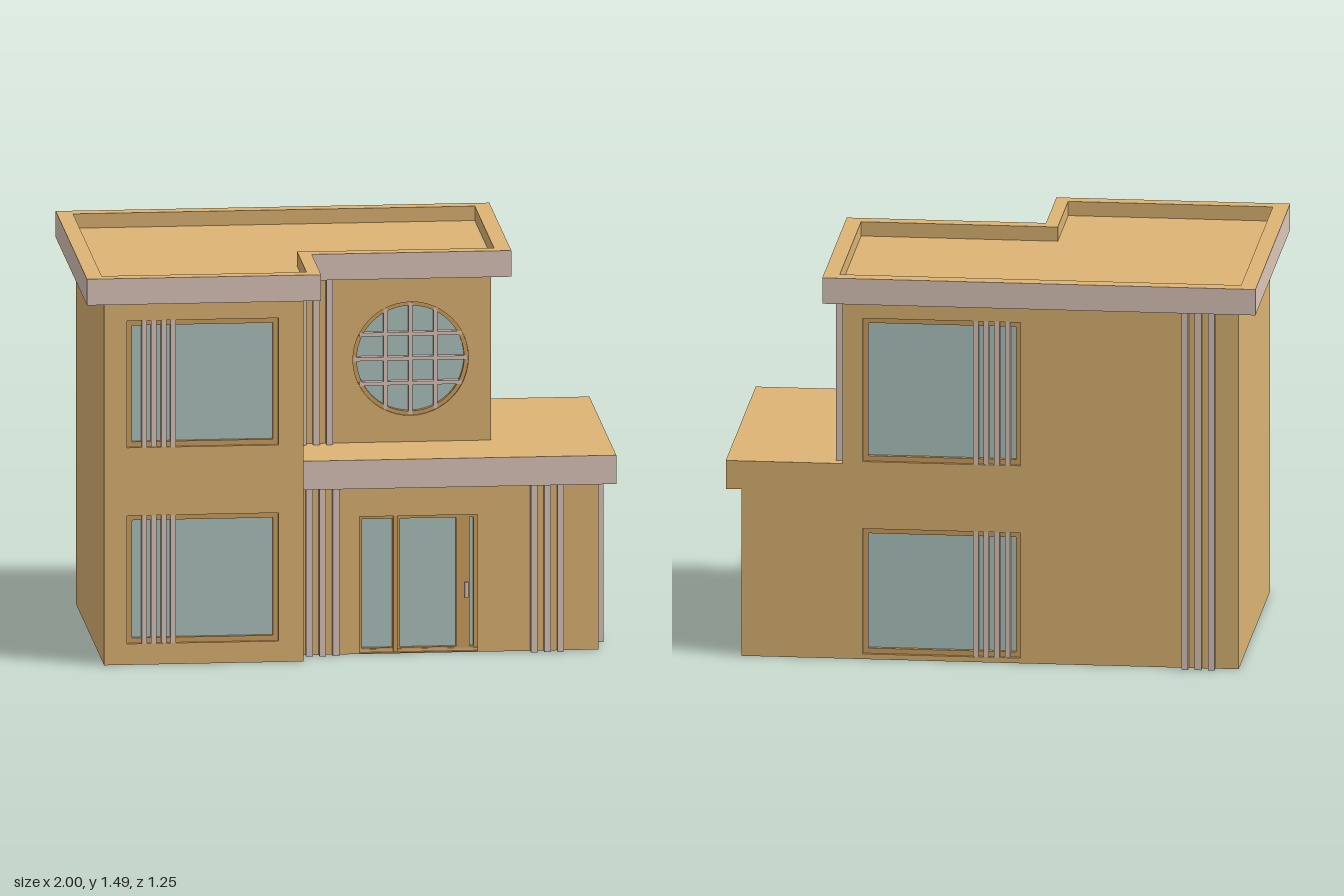
import * as THREE from 'three';

const mat = (color) => new THREE.MeshStandardMaterial({ color, side: THREE.DoubleSide });
const WALL = mat(0xdcb473), TRIM = mat(0xddc7ba), FRAME = mat(0xd0a05f), GLASS = mat(0xaec5c0);
const THICK = 0.05, PILLAR = 0.025;

const polygon = (pts) => new THREE.Shape(pts.map(([x, y]) => new THREE.Vector2(x, y)));
const rect = (x0, y0, x1, y1) => polygon([[x0, y0], [x1, y0], [x1, y1], [x0, y1]]);
const disc = (x, y, r) => polygon(Array.from({ length: 48 }, (_, i) => {
  const a = (i / 48) * Math.PI * 2;
  return [x + r * Math.cos(a), y + r * Math.sin(a)];
}));

function add(parent, name, geometry, material) {
  const mesh = new THREE.Mesh(geometry, material);
  mesh.name = name;
  parent.add(mesh);
  return mesh;
}

function box(parent, name, material, x0, x1, y0, y1, z0, z1) {
  const mesh = add(parent, name, new THREE.BoxGeometry(x1 - x0, y1 - y0, z1 - z0), material);
  mesh.position.set((x0 + x1) / 2, (y0 + y1) / 2, (z0 + z1) / 2);
  return mesh;
}

// Plate with openings, its outer face at z = front
function plate(parent, name, material, shape, holes, front, depth) {
  shape.holes = holes;
  const geometry = new THREE.ExtrudeGeometry(shape, { depth, bevelEnabled: false });
  geometry.translate(0, 0, front - depth);
  return add(parent, name, geometry, material);
}

// One side of the house: a wall turned to face outwards at the given distance
function side(house, name, angle, distance, outline, holes = []) {
  const group = new THREE.Group();
  group.name = name;
  group.rotation.y = angle;
  group.userData.face = distance;
  plate(group, name + 'Panel', WALL, outline, holes, distance, THICK);
  house.add(group);
  return group;
}

// Recessed window with a picture frame and optional vertical slats
function windowUnit(wall, [x0, y0, x1, y1], slats = []) {
  const f = wall.userData.face, w = 0.02;
  plate(wall, 'windowFrame', FRAME, rect(x0, y0, x1, y1),
    [rect(x0 + w, y0 + w, x1 - w, y1 - w)], f - 0.012, 0.03);
  box(wall, 'windowGlass', GLASS, x0 + 0.01, x1 - 0.01, y0 + 0.01, y1 - 0.01, f - THICK, f - 0.028);
  for (const x of slats) box(wall, 'windowSlat', TRIM, x - 0.01, x + 0.01, y0, y1, f - 0.03, f - 0.002);
}

// Row of slim square pillars standing on the wall face
function pillars(wall, centres, y0, y1) {
  const f = wall.userData.face;
  for (const x of centres) box(wall, 'pillar', TRIM, x - PILLAR / 2, x + PILLAR / 2, y0, y1, f - 0.002, f + 0.03);
}

export function createModel() {
  const house = new THREE.Group();
  house.name = 'house';
  const RIGHT = Math.PI / 2, BACK = Math.PI, LEFT = -Math.PI / 2;
  const eaves = 1.39, slabLow = 0.645, slabTop = 0.755;

  // Tower front with two slatted windows
  const towerWins = [[-0.845, 0.08, -0.275, 0.57], [-0.845, 0.83, -0.275, 1.315]];
  const tower = side(house, 'towerFront', 0, 0.56, rect(-0.93, 0, -0.18, eaves), towerWins.map((r) => rect(...r)));
  for (const r of towerWins) windowUnit(tower, r, [-0.778, -0.743, -0.705, -0.67]);
  side(house, 'towerInnerSide', RIGHT, -0.18, rect(-0.56, 0, -0.15, eaves));
  side(house, 'blankSide', LEFT, 0.93, rect(-0.565, 0, 0.56, eaves));

  // Upper front with the round barred window
  const cx = 0.257, cy = 1.072, R = 0.217, r = 0.202;
  const upper = side(house, 'upperFront', 0, 0.19, rect(-0.18, 0.7, 0.56, eaves), [disc(cx, cy, R)]);
  plate(upper, 'roundFrame', FRAME, disc(cx, cy, R), [disc(cx, cy, r)], 0.182, 0.03);
  plate(upper, 'roundGlass', GLASS, disc(cx, cy, R - 0.005), [], 0.162, 0.01);
  for (const d of [-0.094, 0, 0.094]) {
    const h = Math.sqrt(R * R - d * d) - 0.003, b = 0.007;
    box(upper, 'uprightBar', TRIM, cx + d - b, cx + d + b, cy - h, cy + h, 0.16, 0.187);
    box(upper, 'crossBar', TRIM, cx - h, cx + h, cy + d - b, cy + d + b, 0.16, 0.186);
  }
  pillars(upper, [-0.15, -0.1, -0.05], slabTop, eaves);

  // Entrance front: side light, glazed door and handle
  const entry = side(house, 'entranceFront', 0, 0.445, rect(-0.18, 0, 0.94, slabLow), [rect(0.04, 0.004, 0.485, 0.525)]);
  plate(entry, 'doorFrame', FRAME, rect(0.04, 0.004, 0.485, 0.525), [
    rect(0.052, 0.02, 0.165, 0.513), rect(0.195, 0.02, 0.405, 0.513), rect(0.455, 0.02, 0.47, 0.513),
  ], 0.433, 0.03);
  box(entry, 'doorPost', FRAME, 0.168, 0.184, 0.004, 0.525, 0.42, 0.441);
  box(entry, 'doorGlass', GLASS, 0.045, 0.48, 0.01, 0.52, 0.395, 0.417);
  box(entry, 'doorHandle', TRIM, 0.436, 0.45, 0.21, 0.267, 0.43, 0.452);
  pillars(entry, [-0.15, -0.1, -0.05, 0.695, 0.745, 0.795], 0, slabLow);

  // Right side, upper and lower storey (local x runs towards the back)
  const upWin = [-0.135, 0.81, 0.335, 1.33];
  const rightUp = side(house, 'upperSide', RIGHT, 0.56, rect(-0.19, 0.7, 0.565, eaves), [rect(...upWin)]);
  windowUnit(rightUp, upWin);
  pillars(rightUp, [0.407, 0.457, 0.507], slabTop, eaves);
  const lowWin = [0.163, 0.022, 0.493, 0.508];
  const rightLow = side(house, 'lowerSide', RIGHT, 0.94, rect(-0.445, 0, 0.565, slabLow), [rect(...lowWin)]);
  windowUnit(rightLow, lowWin);
  pillars(rightLow, [-0.295, -0.245, -0.192], 0, slabLow);

  // Back wall, which also closes the end of the lower roof
  const backWins = [[-0.485, 0.02, 0.11, 0.505], [-0.485, 0.765, 0.11, 1.32]];
  const back = side(house, 'backWall', BACK, 0.565, polygon([
    [-0.94, 0], [0.93, 0], [0.93, eaves], [-0.56, eaves], [-0.56, slabTop],
    [-1, slabTop], [-1, slabLow], [-0.94, slabLow],
  ]), backWins.map((w) => rect(...w)));
  for (const w of backWins) windowUnit(back, w, [-0.06, -0.02, 0.02, 0.06]);
  pillars(back, [0.73, 0.78, 0.83], 0, eaves);

  // Floor
  box(house, 'mainFloor', WALL, -0.92, 0.93, 0, 0.015, -0.555, 0.435);
  box(house, 'towerFloor', WALL, -0.92, -0.19, 0, 0.015, 0.4, 0.55);

  // Lower roof around the upper storey: trim edges, plain top and underside
  box(house, 'lowerRoof', [TRIM, TRIM, WALL, WALL, TRIM, WALL], -0.185, 1, slabLow, slabTop, -0.562, 0.51);

  // Upper roof: L-shaped parapet with a sunken deck
  const ell = (x0, x1, x2, b, m, f) => [[x0, -f], [x1, -f], [x1, -m], [x2, -m], [x2, b], [x0, b]];
  const outer = ell(-1, -0.12, 0.63, 0.63, 0.247, 0.62);
  const inner = ell(-0.94, -0.17, 0.57, 0.573, 0.193, 0.567);
  const flat = (name, pts, holes, y, h) => {
    const mesh = plate(house, name, WALL, polygon(pts), holes, h, h);
    mesh.rotation.x = -Math.PI / 2;
    mesh.position.y = y;
    return mesh;
  };
  const parapet = flat('roofParapet', outer, [polygon(inner)], eaves, 0.1);
  // Only the outer six edges of the parapet carry the trim colour
  const caps = parapet.geometry.groups[0].count, total = parapet.geometry.attributes.position.count;
  parapet.geometry.clearGroups();
  parapet.geometry.addGroup(0, caps, 0);
  parapet.geometry.addGroup(caps, 36, 1);
  parapet.geometry.addGroup(caps + 36, total - caps - 36, 0);
  parapet.material = [WALL, TRIM];
  flat('roofDeck', inner, [], eaves, 0.045);

  return house;
}
